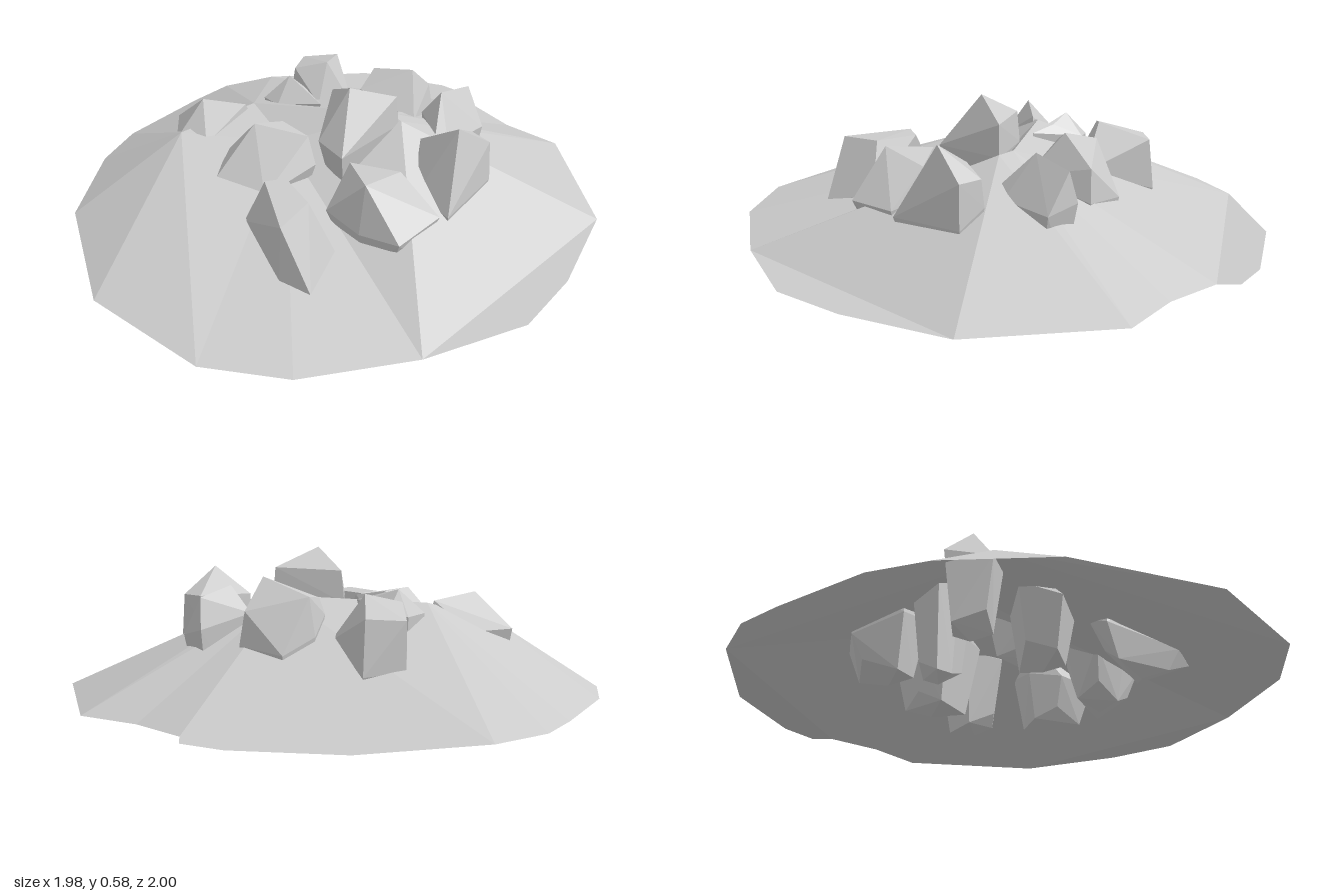
import * as THREE from 'three';
import { ConvexGeometry } from 'three/addons/geometries/ConvexGeometry.js';

const material = new THREE.MeshStandardMaterial({ color: 0xcccccc, flatShading: true, side: THREE.DoubleSide });
const vec = (p) => new THREE.Vector3(...p);

// Open shell: a flat ragged rim rising to a small stepped plateau
function createMound() {
  const rimY = 0.065;
  // Plateau corners, counter-clockwise from above, starting at the low front step
  const top = [[-0.2, 0.29, -0.02], [0.24, 0.405, 0], [0.2, 0.41, -0.05], [-0.33, 0.385, -0.14], [-0.6, 0.31, -0.03]];
  // Rim points: x, z, plateau corner they rise to (-1 = flat lip)
  const rim = [
    [-0.36, -0.94, 3], [-0.56, -0.84, 3], [-0.68, -0.7, 3], [-0.9, -0.4, 4], [-0.97, -0.2, 4],
    [-0.99, 0.18, 4], [-0.79, 0.67, 4], [-0.39, 0.96, 0], [-0.08, 1, 0], [0.32, 0.89, 1],
    [0.67, 0.71, -1], [0.83, 0.48, -1], [0.99, 0.11, 1], [0.9, -0.42, 2], [0.71, -0.56, 2],
    [0.57, -0.73, 2], [0.57, -0.81, -1], [0.44, -0.9, -1], [0.08, -1, -1],
  ];
  const pos = [];
  const tri = (a, b, c) => pos.push(...a, ...b, ...c);
  const at = (r) => [r[0], rimY, r[1]];

  let start = rim[0];
  let lip = [];
  for (const next of [...rim.slice(1), rim[0]]) {
    if (next[2] < 0) { lip.push(next); continue; }
    const chain = [...lip, next];
    for (let i = 0; i + 1 < chain.length; i++) tri(at(start), at(chain[i]), at(chain[i + 1]));
    tri(at(start), at(next), top[start[2]]);
    if (next[2] !== start[2]) tri(at(next), top[next[2]], top[start[2]]);
    start = next;
    lip = [];
  }
  for (let i = 1; i + 1 < top.length; i++) tri(top[0], top[i], top[i + 1]);

  const geometry = new THREE.BufferGeometry();
  geometry.setAttribute('position', new THREE.Float32BufferAttribute(pos, 3));
  geometry.computeVertexNormals();
  const mesh = new THREE.Mesh(geometry, material);
  mesh.name = 'mound';
  return mesh;
}

// Faceted boulder: crown and girdle corners, then the girdle shrunk to a blunt point below
function createRock(name, baseY, crown, girdle) {
  const ring = girdle.map(vec);
  const tip = ring.reduce((s, p) => s.add(p), new THREE.Vector3()).divideScalar(ring.length).setY(baseY);
  const base = ring.map((p, i) => p.clone().lerp(tip, 0.3).setY(baseY + 0.03 + (i % 2) * 0.05));
  const mesh = new THREE.Mesh(new ConvexGeometry([...crown.map(vec), ...ring, ...base, tip]), material);
  mesh.name = name;
  return mesh;
}

export function createModel() {
  const group = new THREE.Group();
  group.name = 'rockMound';
  group.add(
    createMound(),
    createRock('frontRightRock', 0.04,
      [[-0.23, 0.37, 0.37], [-0.16, 0.365, 0.34], [-0.07, 0.365, 0.48], [-0.15, 0.36, 0.62]],
      [[-0.31, 0.19, 0.36], [-0.24, 0.23, 0.3], [0.02, 0.17, 0.49], [-0.05, 0.13, 0.68], [-0.16, 0.15, 0.63]]),
    createRock('frontLeftRock', 0.03,
      [[0.12, 0.4, 0.42], [0.06, 0.38, 0.25], [0.24, 0.36, 0.27]],
      [[0.06, 0.25, 0.24], [-0.02, 0.24, 0.35], [0.1, 0.22, 0.46], [0.24, 0.23, 0.53], [0.38, 0.24, 0.37], [0.24, 0.25, 0.25]]),
    createRock('leftRock', 0.04,
      [[0.44, 0.5, 0.2], [0.31, 0.4, 0.11], [0.56, 0.4, 0.12], [0.5, 0.4, 0.05]],
      [[0.3, 0.25, 0.1], [0.3, 0.24, 0.23], [0.41, 0.23, 0.36], [0.57, 0.24, 0.12], [0.5, 0.3, 0.04]]),
    createRock('centreRock', 0.16,
      [[0.05, 0.58, 0.07], [0.22, 0.51, 0.0], [-0.02, 0.5, -0.06]],
      [[-0.03, 0.38, -0.07], [-0.06, 0.39, 0.13], [0.03, 0.38, 0.23], [0.23, 0.39, 0.0]]),
    createRock('rightRock', 0.015,
      [[-0.3, 0.42, 0.07], [-0.2, 0.41, 0.03], [-0.1, 0.39, 0.1]],
      [[-0.46, 0.22, 0.2], [-0.4, 0.3, 0.05], [-0.16, 0.3, 0.02], [-0.07, 0.3, 0.15], [-0.25, 0.22, 0.25]]),
    createRock('farRightRock', 0.02,
      [[-0.52, 0.42, -0.1], [-0.36, 0.39, -0.12]],
      [[-0.64, 0.29, -0.19], [-0.62, 0.28, -0.03], [-0.5, 0.28, 0.0], [-0.33, 0.32, -0.12], [-0.48, 0.28, -0.19]]),
    createRock('smallBackRock', 0,
      [[-0.2, 0.45, -0.25], [-0.13, 0.42, -0.2]],
      [[-0.3, 0.36, -0.23], [-0.22, 0.36, -0.33], [-0.15, 0.37, -0.31], [-0.07, 0.4, -0.12], [-0.24, 0.37, -0.16]]),
    createRock('backRock', 0.04,
      [[-0.06, 0.45, -0.37], [-0.19, 0.42, -0.37], [-0.03, 0.39, -0.56], [-0.17, 0.38, -0.55]],
      [[-0.21, 0.28, -0.36], [-0.17, 0.21, -0.55], [-0.02, 0.2, -0.58], [0.05, 0.28, -0.31], [-0.09, 0.3, -0.29]]),
    createRock('backLeftRock', 0.03,
      [[0.28, 0.5, -0.23], [0.13, 0.44, -0.35], [0.08, 0.42, -0.21], [0.35, 0.39, -0.32]],
      [[0.06, 0.36, -0.22], [0.11, 0.3, -0.35], [0.23, 0.25, -0.43], [0.37, 0.27, -0.32], [0.29, 0.35, -0.1]]),
    createRock('farLeftRock', 0.03,
      [[0.39, 0.46, -0.13], [0.5, 0.43, -0.24]],
      [[0.32, 0.36, -0.15], [0.37, 0.34, -0.01], [0.42, 0.3, -0.02], [0.56, 0.29, -0.17], [0.5, 0.32, -0.27]]),
  );
  return group;
}
